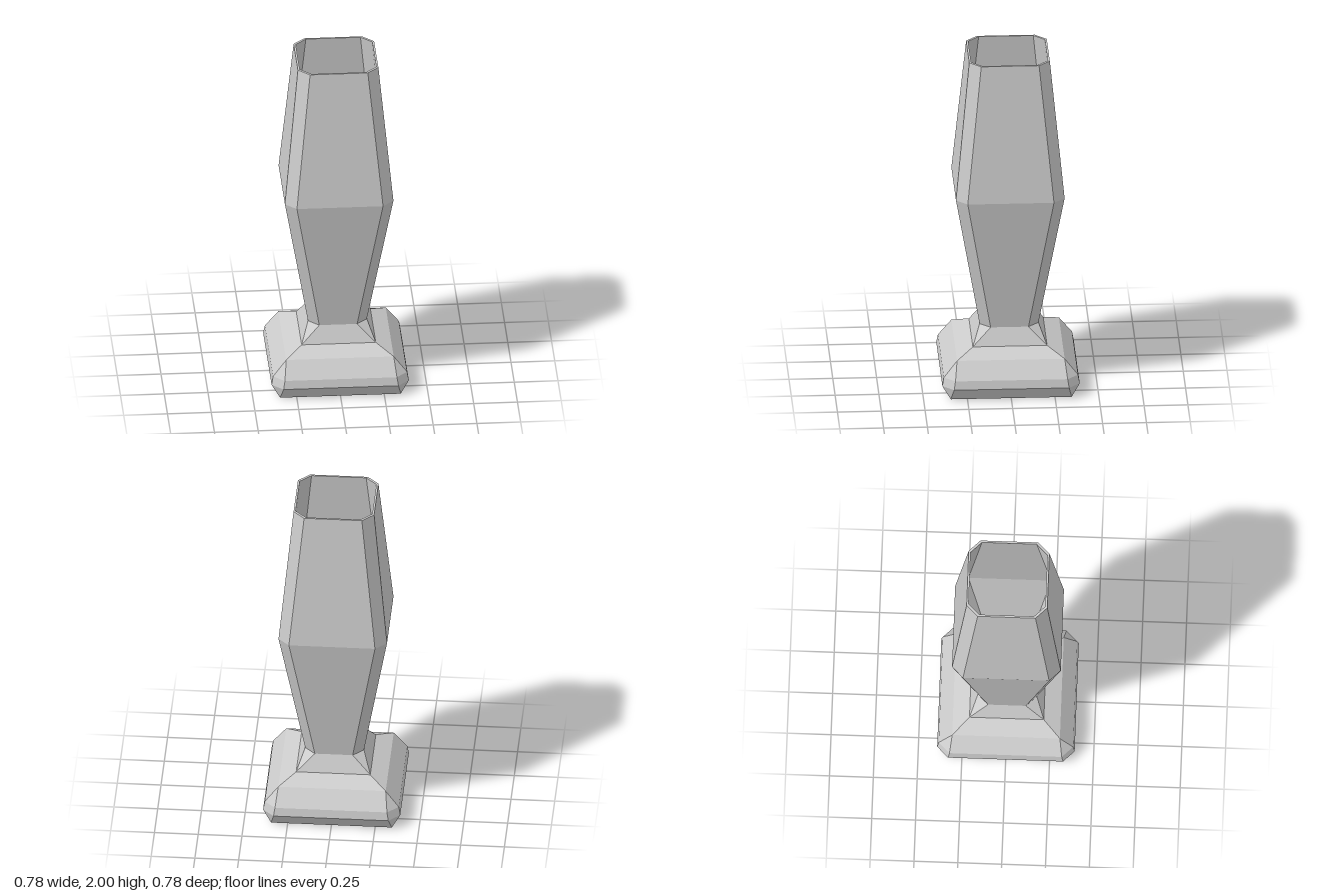
import * as THREE from 'three';

// Ring of 8 points: a square of half-width h whose flat sides reach +-f (f = h gives sharp corners)
function ring([y, h, f]) {
  return [[h, -f], [h, f], [f, h], [-f, h], [-h, f], [-h, -f], [-f, -h], [f, -h]]
    .map(([x, z]) => new THREE.Vector3(x, y, z));
}

// Skins consecutive rings with flat faces, skipping collapsed triangles
function loft(name, profile, material) {
  const rings = profile.map(ring);
  const points = [];
  const tri = (a, b, c) => {
    const area = b.clone().sub(a).cross(c.clone().sub(a)).length();
    if (area > 1e-8) points.push(a, b, c);
  };
  for (let i = 0; i < rings.length - 1; i++) {
    for (let j = 0; j < 8; j++) {
      const k = (j + 1) % 8;
      const a = rings[i][j], b = rings[i][k], c = rings[i + 1][k], d = rings[i + 1][j];
      tri(a, d, b);
      tri(b, d, c);
    }
  }
  const geometry = new THREE.BufferGeometry().setFromPoints(points);
  geometry.computeVertexNormals();
  const mesh = new THREE.Mesh(geometry, material);
  mesh.name = name;
  return mesh;
}

export function createModel() {
  const group = new THREE.Group();
  group.name = 'vase';
  const material = new THREE.MeshStandardMaterial({ color: 0xcccccc, flatShading: true });

  // Each row: height, half-width, half-length of the flat side
  const foot = [
    [0, 0, 0],
    [0, 0.345, 0.345],
    [0.075, 0.392, 0.328],
    [0.125, 0.383, 0.32],
    [0.22, 0.307, 0.307],
    [0.265, 0.212, 0.212],
    [0.365, 0.168, 0.108],
  ];
  const outerWall = [
    [0.365, 0.168, 0.108],
    [1.185, 0.31, 0.246],
    [2, 0.23, 0.165],
  ];
  const rim = [
    [2, 0.23, 0.165],
    [2, 0.219, 0.156],
  ];
  const innerWall = [
    [2, 0.219, 0.156],
    [1.185, 0.298, 0.236],
    [0.35, 0.148, 0.084],
    [0.28, 0.079, 0.079],
    [0.28, 0, 0],
  ];

  group.add(
    loft('foot', foot, material),
    loft('outerWall', outerWall, material),
    loft('rim', rim, material),
    loft('innerWall', innerWall, material),
  );
  return group;
}
